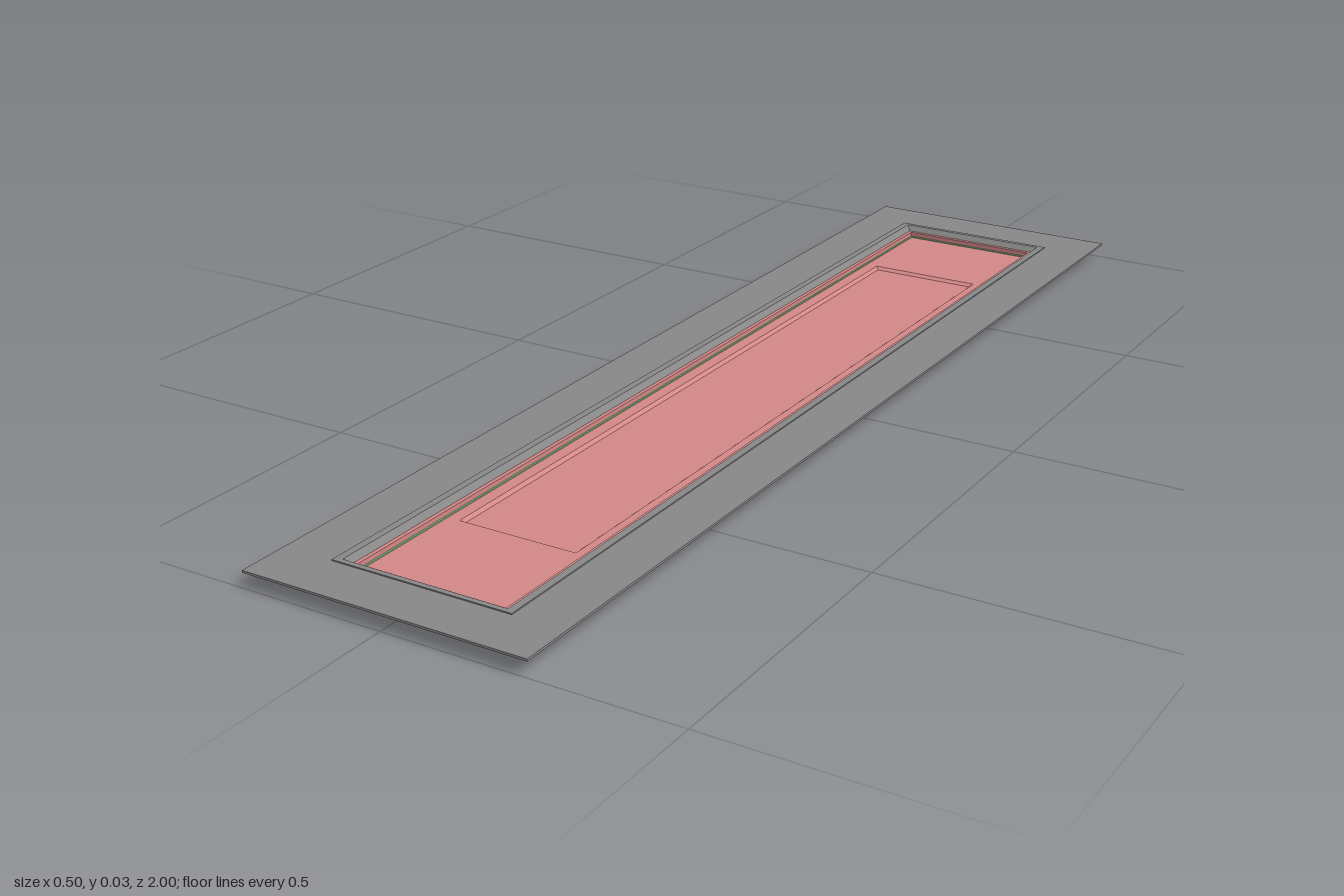
import * as THREE from 'three';

// Sweeps a profile of [halfWidth, halfLength, height] around nested rectangles.
// The profile runs outward underneath, up the side, then inward on top.
function rectLoft(profile) {
  const corners = [[1, 1], [1, -1], [-1, -1], [-1, 1]];
  const positions = [];
  const point = ([w, l, y], k) => {
    const [sx, sz] = corners[k % 4];
    return [sx * w, y, sz * l];
  };
  for (let i = 0; i < profile.length - 1; i++) {
    for (let k = 0; k < 4; k++) {
      const a = point(profile[i], k), b = point(profile[i], k + 1);
      const c = point(profile[i + 1], k + 1), d = point(profile[i + 1], k);
      positions.push(...a, ...b, ...c, ...a, ...c, ...d);
    }
  }
  const geometry = new THREE.BufferGeometry();
  geometry.setAttribute('position', new THREE.Float32BufferAttribute(positions, 3));
  geometry.computeVertexNormals();
  return geometry;
}

// Closed rectangular ring with a plain rectangular section
function ringProfile(outW, outL, inW, inL, y0, y1) {
  return [[inW, inL, y0], [outW, outL, y0], [outW, outL, y1], [inW, inL, y1], [inW, inL, y0]];
}

export function createModel() {
  const group = new THREE.Group();
  const material = (color) => new THREE.MeshStandardMaterial({ color });
  const grey = material(0x888888);
  const red = material(0xd48888);
  const green = material(0x88c488);

  const add = (name, profile, mat) => {
    const mesh = new THREE.Mesh(rectLoft(profile), mat);
    mesh.name = name;
    group.add(mesh);
  };

  // Wide flat surround
  add('surroundPlate', ringProfile(0.25, 1, 0.155, 0.91, 0.025, 0.029), grey);

  // Slightly raised lip with a bevelled opening
  add('openingLip', [
    [0.139, 0.895, 0.021], [0.16, 0.912, 0.021], [0.16, 0.912, 0.031],
    [0.147, 0.903, 0.031], [0.139, 0.895, 0.021],
  ], grey);

  // Shallow tray with a step and a sunken, slope-sided centre
  add('tray', [
    [0, 0, 0], [0.142, 0.9, 0], [0.142, 0.9, 0.021], [0.132, 0.888, 0.021],
    [0.132, 0.888, 0.011], [0.107, 0.684, 0.011], [0.101, 0.677, 0.006], [0, 0, 0.006],
  ], red);

  // Thin strip along the foot of the tray wall
  add('edgeStrip', ringProfile(0.132, 0.888, 0.129, 0.885, 0.011, 0.013), green);

  return group;
}
